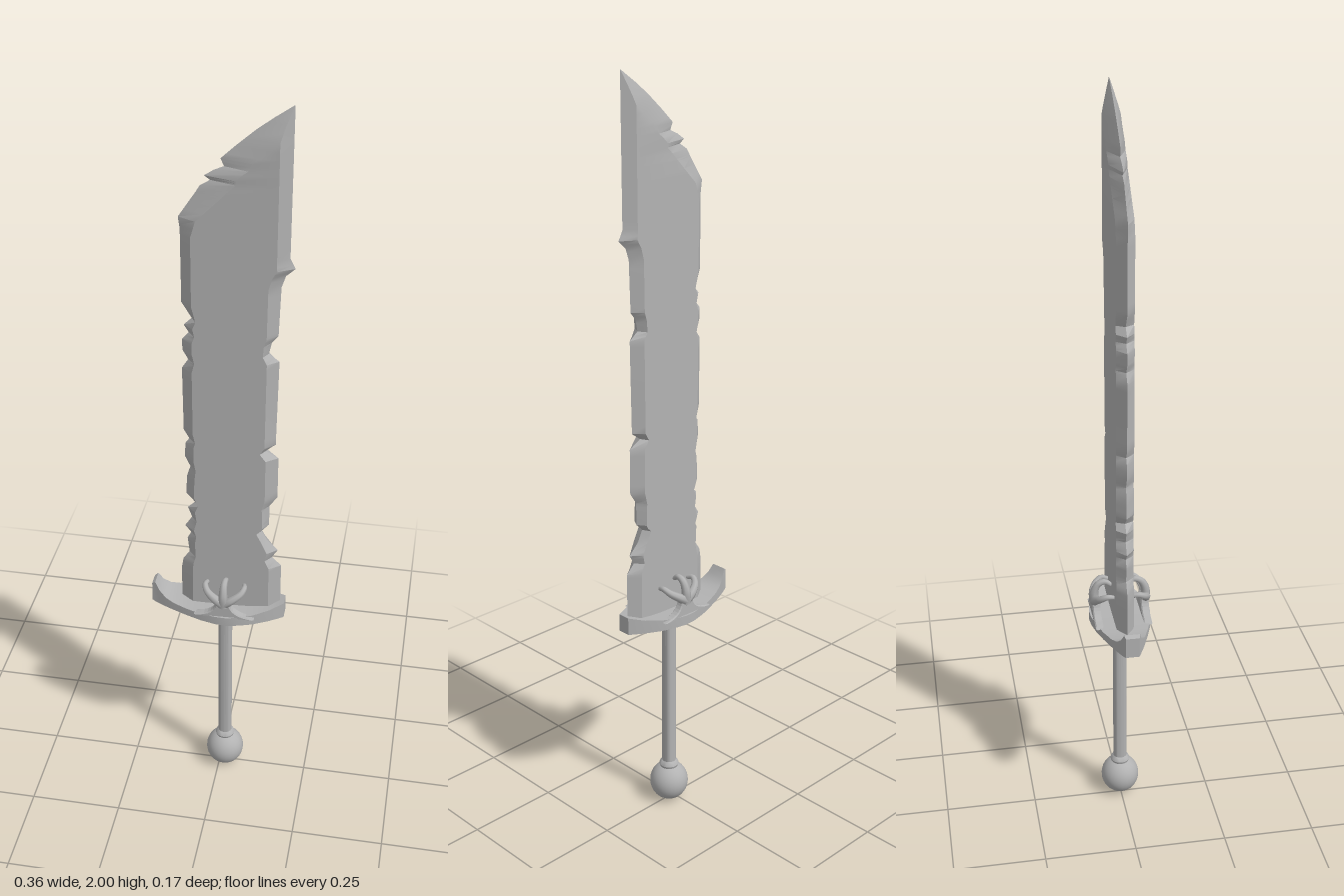
import * as THREE from 'three';
import { toCreasedNormals } from 'three/addons/utils/BufferGeometryUtils.js';

const CX = 0.015; // axis of grip and ornament

// Linear lookup in a list of [position, value] pairs
function lerpAt(table, p) {
  if (p <= table[0][0]) return table[0][1];
  for (let i = 1; i < table.length; i++) {
    const [a, va] = table[i - 1], [b, vb] = table[i];
    if (p <= b) return va + (vb - va) * (p - a) / (b - a);
  }
  return table[table.length - 1][1];
}

// Skin through equal-length rings running right-handed around the path, with end caps
function loft(rings, crease) {
  const n = rings[0].length, last = (rings.length - 1) * n, index = [];
  for (let i = 0; i < rings.length - 1; i++) {
    for (let j = 0; j < n; j++) {
      const a = i * n + j, b = i * n + (j + 1) % n;
      index.push(a, b, b + n, a, b + n, a + n);
    }
  }
  for (let j = 1; j < n - 1; j++) {
    index.push(0, j + 1, j, last, last + j, last + j + 1);
  }
  const g = new THREE.BufferGeometry();
  g.setAttribute('position', new THREE.Float32BufferAttribute(rings.flat(2), 3));
  g.setIndex(index);
  return toCreasedNormals(g, crease);
}

// Blade outline as [y, x]: chipped cutting edge on the left, nicked edge on the right
const LEFT = [
  [0.6, -0.105], [0.7, -0.105], [0.73, -0.1], [0.755, -0.083], [0.8, -0.088], [0.82, -0.078], [0.84, -0.094],
  [0.87, -0.075], [0.9, -0.086], [0.92, -0.066], [0.945, -0.09], [1.0, -0.087], [1.03, -0.078], [1.06, -0.092],
  [1.1, -0.09], [1.115, -0.08], [1.14, -0.094], [1.32, -0.096], [1.345, -0.08], [1.37, -0.094], [1.4, -0.095],
  [1.42, -0.078], [1.44, -0.09], [1.46, -0.07], [1.5, -0.095], [1.69, -0.096], [1.72, -0.1], [1.785, -0.057],
  [1.8, -0.048], [1.815, -0.024], [1.825, -0.038], [1.842, -0.012], [1.85, 0.008], [1.868, 0.0], [1.9, 0.034],
  [1.94, 0.08], [1.97, 0.12], [2.0, 0.164],
];
const RIGHT = [
  [0.6, 0.165], [0.74, 0.165], [0.765, 0.14], [0.79, 0.155], [0.82, 0.125], [0.85, 0.11], [0.87, 0.13],
  [0.93, 0.13], [0.96, 0.15], [1.08, 0.15], [1.1, 0.115], [1.12, 0.142], [1.36, 0.146], [1.38, 0.12],
  [1.41, 0.126], [1.43, 0.142], [1.56, 0.146], [1.59, 0.156], [1.61, 0.178], [1.635, 0.165], [2.0, 0.166],
];
// Unchipped outlines that the flat faces follow
const LEFT_BASE = [[0.6, -0.098], [1.72, -0.098], [1.85, -0.014], [2.0, 0.164]];
const RIGHT_BASE = [[0.6, 0.163], [0.75, 0.16], [0.95, 0.147], [1.56, 0.146], [1.64, 0.165], [2.0, 0.166]];

function bladeGeometry() {
  const heights = [...LEFT, ...RIGHT].map((p) => p[0]);
  for (let y = 0.62; y < 2; y += 0.02) heights.push(y);
  heights.sort((a, b) => a - b);
  const rows = heights.filter((y, i) => i === 0 || y - heights[i - 1] > 0.002);
  const rings = rows.map((y) => {
    const xl = lerpAt(LEFT, y), xr = lerpAt(RIGHT, y);
    const bl = lerpAt([[1.68, 0.03], [1.8, 0.07], [2.0, 0.08]], y), br = 0.028;
    // Flat faces bend partly around each chip
    let il = Math.max(xl + 0.01, (lerpAt(LEFT_BASE, y) * 0.6 + xl * 0.4) + bl);
    let ir = Math.min(xr - 0.01, (lerpAt(RIGHT_BASE, y) * 0.6 + xr * 0.4) - br);
    let t = 0.023;
    const w = xr - xl;
    if (w < bl + br + 0.005) {
      // Towards the point the two bevels meet in a thinning ridge
      const k = w / (bl + br + 0.005);
      il = xl + w * 0.7;
      ir = xl + w * 0.74;
      t *= k;
    }
    return [[xl, y, 0], [il, y, t], [ir, y, t], [xr, y, 0], [ir, y, -t], [il, y, -t]];
  });
  return loft(rings, 0.45);
}

// Lens-shaped guard, curled up at its left end: [x, bottom, top, half depth]
function guardGeometry() {
  const stations = [
    [-0.185, 0.588, 0.645, 0.018], [-0.176, 0.585, 0.652, 0.021], [-0.163, 0.584, 0.63, 0.027],
    [-0.145, 0.583, 0.614, 0.035], [-0.12, 0.582, 0.606, 0.045], [-0.08, 0.581, 0.603, 0.06],
    [-0.04, 0.58, 0.603, 0.073], [0, 0.579, 0.604, 0.081], [0.03, 0.579, 0.605, 0.083],
    [0.065, 0.579, 0.606, 0.076], [0.1, 0.578, 0.609, 0.063], [0.14, 0.578, 0.615, 0.042],
    [0.165, 0.578, 0.622, 0.026], [0.178, 0.578, 0.626, 0.017],
  ];
  return loft(stations.map(([x, b, t, w]) => [[x, t, -w], [x, t, w], [x, b, w], [x, b, -w]]), 0.5);
}

// Tube along points that narrows from r0 to r1
function prongGeometry(points, r0, r1) {
  const seg = 14, sides = 8;
  const curve = new THREE.CatmullRomCurve3(points.map((p) => new THREE.Vector3(...p)));
  const g = new THREE.TubeGeometry(curve, seg, 1, sides);
  const pos = g.attributes.position, v = new THREE.Vector3();
  for (let i = 0; i < pos.count; i++) {
    const u = Math.floor(i / (sides + 1)) / seg, c = curve.getPointAt(u);
    v.fromBufferAttribute(pos, i).sub(c).multiplyScalar(r0 + (r1 - r0) * u).add(c);
    pos.setXYZ(i, v.x, v.y, v.z);
  }
  return g;
}

// Claw rising from the guard rim and bending in to hold the blade
function makeClaw(material) {
  const claw = new THREE.Group();
  const add = (name, geometry) => {
    const m = new THREE.Mesh(geometry, material);
    m.name = name;
    claw.add(m);
    return m;
  };
  const root = new THREE.Shape();
  root.moveTo(-0.075, 0);
  root.quadraticCurveTo(-0.018, 0.004, -0.014, 0.05);
  root.lineTo(0.014, 0.05);
  root.quadraticCurveTo(0.018, 0.004, 0.08, 0);
  root.closePath();
  const rootGeo = new THREE.ExtrudeGeometry(root, {
    depth: 0.016, bevelEnabled: true, bevelThickness: 0.003, bevelSize: 0.003, bevelSegments: 1, curveSegments: 8,
  });
  add('clawRoot', rootGeo).position.set(0.02, 0.602, 0.058);
  add('clawMiddle', prongGeometry(
    [[0.02, 0.635, 0.068], [0.02, 0.668, 0.07], [0.02, 0.694, 0.058], [0.021, 0.7, 0.04], [0.022, 0.69, 0.024]], 0.015, 0.006));
  for (const s of [-1, 1]) {
    add(s < 0 ? 'clawRight' : 'clawLeft', prongGeometry(
      [[0.02, 0.64, 0.068], [0.02 + s * 0.022, 0.656, 0.069], [0.02 + s * 0.045, 0.672, 0.058],
        [0.02 + s * 0.053, 0.682, 0.042], [0.02 + s * 0.05, 0.678, 0.024]], 0.014, 0.006));
  }
  return claw;
}

export function createModel() {
  const model = new THREE.Group();
  const steel = new THREE.MeshStandardMaterial({ color: 0xb2b2b2 });
  steel.name = 'greySteel';
  const add = (name, geometry, x = 0) => {
    const m = new THREE.Mesh(geometry, steel);
    m.name = name;
    m.position.x = x;
    model.add(m);
  };

  add('blade', bladeGeometry());
  add('guard', guardGeometry());

  // Grip with small collars at both ends
  const grip = [[0.024, 0.1], [0.027, 0.11], [0.024, 0.117], [0.019, 0.122], [0.019, 0.555], [0.027, 0.56],
    [0.034, 0.57], [0.034, 0.585]].map((p) => new THREE.Vector2(...p));
  add('grip', toCreasedNormals(new THREE.LatheGeometry(grip, 24), 0.6), CX);

  const pommel = new THREE.SphereGeometry(0.053, 28, 18);
  pommel.scale(1, 1.04, 1).translate(0, 0.0552, 0);
  add('pommel', pommel, CX);

  // Matching claws on front and back
  const front = makeClaw(steel);
  front.name = 'frontClaw';
  const back = makeClaw(steel);
  back.name = 'backClaw';
  back.rotation.y = Math.PI;
  back.position.x = 0.04;
  model.add(front, back);
  return model;
}
